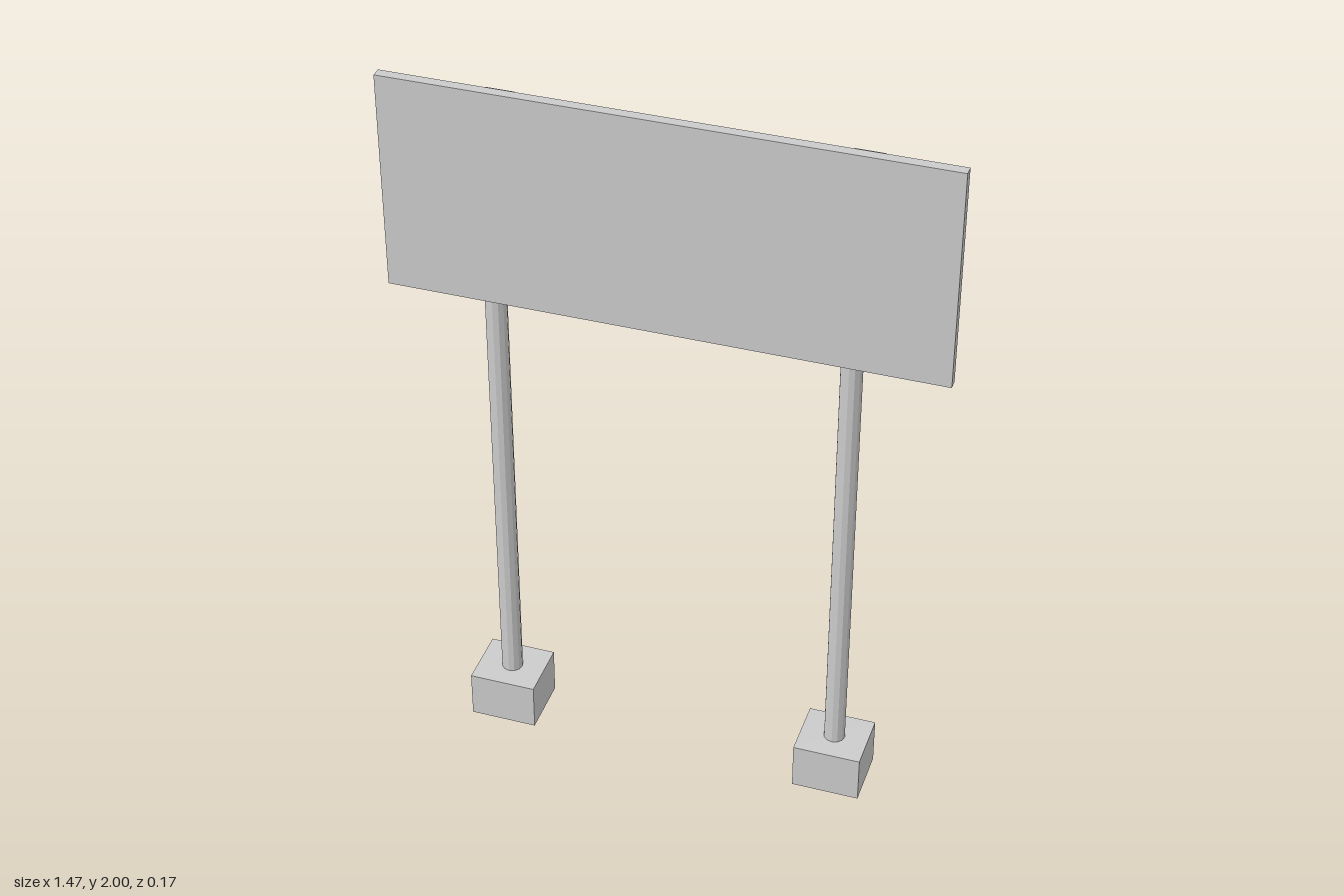
import * as THREE from 'three';

export function createModel() {
  const model = new THREE.Group();
  const material = new THREE.MeshStandardMaterial({ color: 0xcccccc, flatShading: true });

  const add = (name, geometry, x, y, z) => {
    const mesh = new THREE.Mesh(geometry, material);
    mesh.name = name;
    mesh.position.set(x, y, z);
    model.add(mesh);
  };

  // Flat sign board in front of the posts
  add('signBoard', new THREE.BoxGeometry(1.466, 0.6, 0.028), 0, 1.7, 0.053);

  // Each side: footing block, round post and the bracket holding the board
  const base = new THREE.BoxGeometry(0.185, 0.135, 0.166);
  const post = new THREE.CylinderGeometry(0.029, 0.029, 1.81, 12);
  const bracket = new THREE.BoxGeometry(0.078, 0.448, 0.122);
  for (const [side, x] of [['left', 0.468], ['right', -0.468]]) {
    add(side + 'Base', base, x, 0.0675, 0);
    add(side + 'Post', post, x, 1.038, 0);
    add(side + 'Bracket', bracket, x, 1.703, -0.022);
  }
  return model;
}
